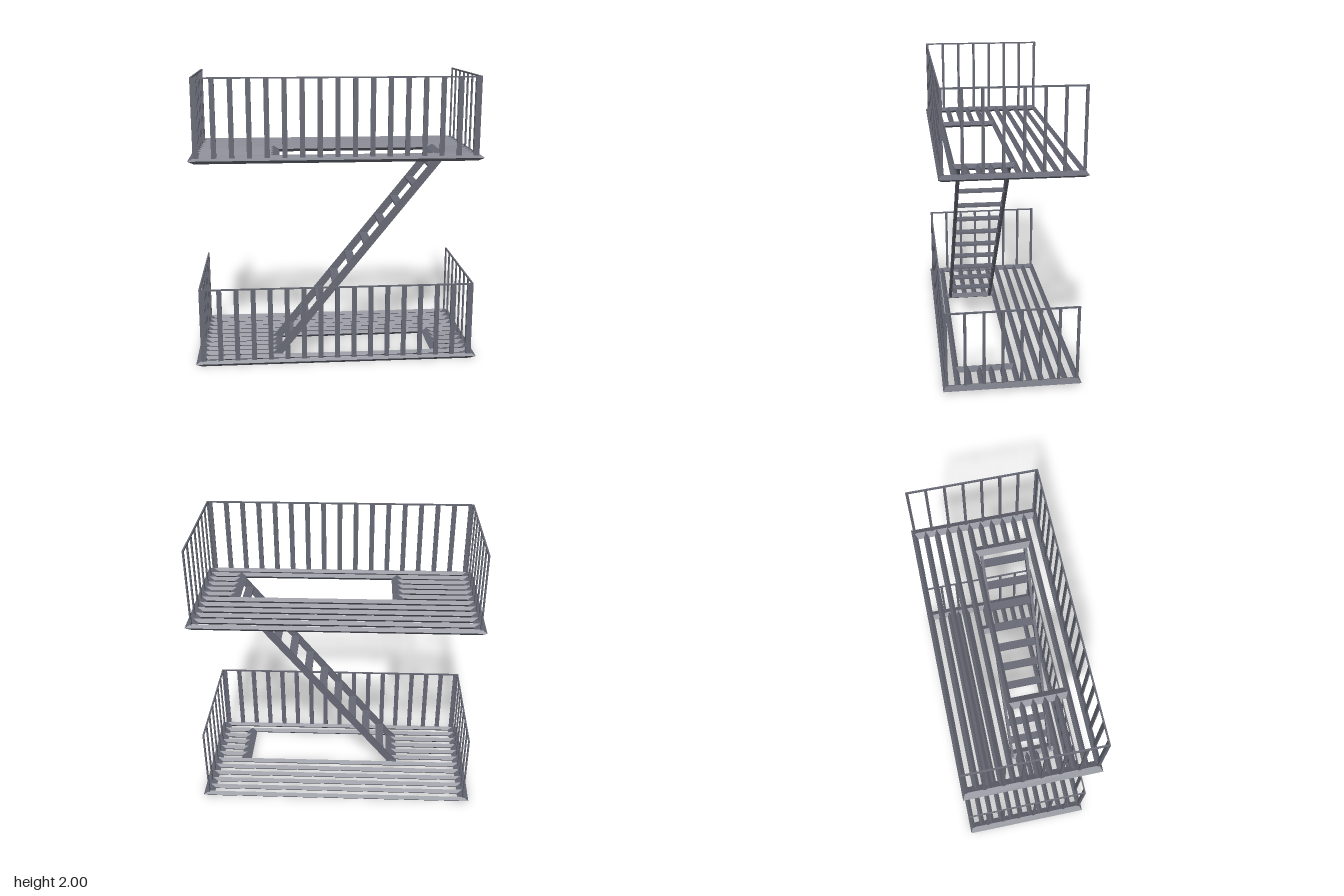
import * as THREE from 'three';

const steel = new THREE.MeshStandardMaterial({ color: 0x666874 });
steel.name = 'grey steel';

// Shared sizes
const RIDGE_X = 0.95, RIDGE_Z = 0.4365;   // centre lines of the outer frame
const HALF_X = 0.04, HALF_Z = 0.02;       // half widths of end beams and slats
const MID = 0.0215;                       // half height of a platform
const LEVEL = 1.435;                      // height between platforms
const RAIL_TOP = 0.565;
const HOLE = { x0: -0.425, x1: 0.725 };   // stair opening
const SLATS = 12;

function faceted(geometry) {
  const g = geometry.index ? geometry.toNonIndexed() : geometry;
  g.computeVertexNormals();
  return g;
}

function add(group, name, geometry, x = 0, y = 0, z = 0) {
  const mesh = new THREE.Mesh(geometry, steel);
  mesh.name = name;
  mesh.position.set(x, y, z);
  group.add(mesh);
  return mesh;
}

const box = (w, h, d) => new THREE.BoxGeometry(w, h, d);

// Diamond-section bar lying along x or z
function bar(length, half, axis) {
  const g = new THREE.CylinderGeometry(1, 1, length, 4);
  if (axis === 'x') g.rotateZ(Math.PI / 2).scale(1, MID, half);
  else g.rotateX(Math.PI / 2).scale(half, MID, 1);
  return faceted(g);
}

// Mitred rectangular ring with a diamond section
function ring() {
  const corners = [[1, 1], [1, -1], [-1, -1], [-1, 1]];
  const section = [[1, 0], [0, 1], [-1, 0], [0, -1]];
  const points = [], index = [];
  for (const [sx, sz] of corners) {
    for (const [out, up] of section) {
      points.push(sx * (RIDGE_X + out * HALF_X), up * MID, sz * (RIDGE_Z + out * HALF_Z));
    }
  }
  for (let i = 0; i < 4; i++) {
    for (let j = 0; j < 4; j++) {
      const n = (i + 1) % 4, k = (j + 1) % 4;
      const a = i * 4 + j, b = n * 4 + j, c = n * 4 + k, d = i * 4 + k;
      index.push(a, b, c, a, c, d);
    }
  }
  const g = new THREE.BufferGeometry();
  g.setAttribute('position', new THREE.Float32BufferAttribute(points, 3));
  g.setIndex(index);
  return faceted(g);
}

function createPlatform() {
  const platform = new THREE.Group();
  add(platform, 'outerFrame', ring(), 0, MID, 0);

  // Floor slats, with four cut short around the stair opening
  const pitch = (2 * RIDGE_Z) / (SLATS - 1);
  const slat = (x0, x1, z) =>
    add(platform, 'floorSlat', bar(x1 - x0, HALF_Z, 'x'), (x0 + x1) / 2, MID, z);
  for (let i = 1; i < SLATS - 1; i++) {
    const z = -RIDGE_Z + i * pitch;
    if (i >= 6 && i <= 9) {
      slat(-RIDGE_X, HOLE.x0, z);
      slat(HOLE.x1, RIDGE_X, z);
    } else {
      slat(-RIDGE_X, RIDGE_X, z);
    }
  }

  // Cross beams at both ends of the opening
  const z0 = -RIDGE_Z + 5 * pitch, z1 = -RIDGE_Z + 10 * pitch;
  for (const x of [HOLE.x0, HOLE.x1]) {
    add(platform, 'openingBeam', bar(z1 - z0, HALF_X, 'z'), x, MID, (z0 + z1) / 2);
  }

  // Front railing
  const base = 0.03, height = RAIL_TOP - base, midY = base + height / 2;
  for (let i = 0; i < 17; i++) {
    add(platform, 'frontPost', box(0.034, height, 0.008), -0.934 + i * 0.11675, midY, 0.438);
  }
  add(platform, 'frontRail', box(1.908, 0.01, 0.01), 0, RAIL_TOP - 0.005, 0.438);

  // Side railings
  for (const x of [-RIDGE_X, RIDGE_X]) {
    for (let i = 0; i < 8; i++) {
      add(platform, 'sidePost', box(0.01, height, 0.019), x, midY, -0.433 + i * 0.1237);
    }
    add(platform, 'sideRail', box(0.011, 0.01, 0.885), x, RAIL_TOP - 0.005, 0);
  }
  return platform;
}

function createLadder() {
  const ladder = new THREE.Group();
  ladder.name = 'ladder';
  const y0 = MID, y1 = LEVEL + MID, w = 0.032;
  const zBack = 0, zFront = 0.318;

  // Sloping side pieces with level ends
  const outline = new THREE.Shape([
    new THREE.Vector2(HOLE.x0 - w, y0), new THREE.Vector2(HOLE.x0 + w, y0),
    new THREE.Vector2(HOLE.x1 + w, y1), new THREE.Vector2(HOLE.x1 - w, y1),
  ]);
  const side = new THREE.ExtrudeGeometry(outline, { depth: 0.02, bevelEnabled: false });
  side.translate(0, 0, -0.01);
  for (const z of [zBack, zFront]) add(ladder, 'ladderSide', side, 0, 0, z);

  // Level treads
  const slope = (HOLE.x1 - HOLE.x0) / (y1 - y0);
  for (let i = 0; i < 10; i++) {
    const y = 0.14 + i * 0.1378;
    add(ladder, 'tread', box(0.06, 0.012, zFront - zBack),
      HOLE.x0 + (y - y0) * slope, y, (zBack + zFront) / 2);
  }
  return ladder;
}

export function createModel() {
  const model = new THREE.Group();
  model.name = 'fireEscape';
  ['lowerPlatform', 'upperPlatform'].forEach((name, i) => {
    const platform = createPlatform();
    platform.name = name;
    platform.position.y = i * LEVEL;
    model.add(platform);
  });
  model.add(createLadder());
  return model;
}
